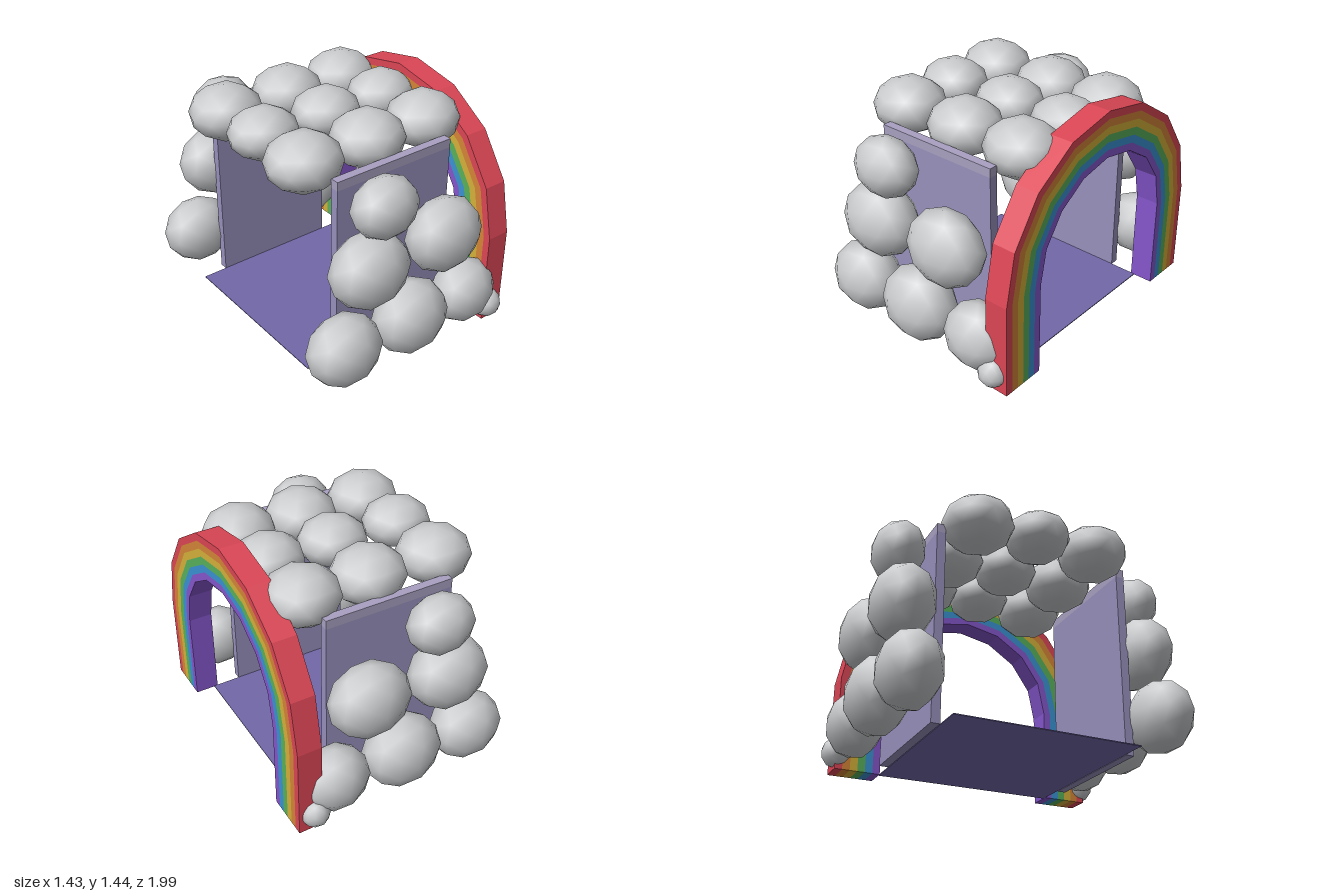
import * as THREE from 'three';

const mat = (name, color) => {
  const m = new THREE.MeshStandardMaterial({ color });
  m.name = name;
  return m;
};

export function createModel() {
  const group = new THREE.Group();
  const cloudMat = mat('cloud grey', 0xc9cbcd);
  const wallMat = mat('wall lavender', 0x9790bb);
  const trimMat = mat('trim pale lavender', 0xa8a0c0);
  const floorMat = mat('floor violet', 0x7168a8);
  const bandMats = [
    mat('red', 0xdb4655), mat('orange', 0xd48437), mat('yellow', 0xd4b03a),
    mat('green', 0x58b05a), mat('blue', 0x3a92d2), mat('purple', 0x8556cc),
  ];

  const add = (name, geometry, material, x = 0, y = 0, z = 0) => {
    const mesh = new THREE.Mesh(geometry, material);
    mesh.name = name;
    mesh.position.set(x, y, z);
    group.add(mesh);
    return mesh;
  };

  // Floor slab
  add('floor', new THREE.BoxGeometry(1.17, 0.006, 1.15), floorMat, 0, 0.003, 0);

  // Side walls with a pale top rail
  for (const s of [1, -1]) {
    add('wall', new THREE.BoxGeometry(0.82, 1.18, 0.055), wallMat, -0.01, 0.59, s * 0.607);
    add('wallTopRail', new THREE.BoxGeometry(0.82, 0.055, 0.055), trimMat, -0.01, 1.2075, s * 0.607);
  }

  // Rainbow arch: six nested bands, straight legs below a faceted round top
  const springY = 0.597, steps = 8;
  const archLine = (r) => {
    const pts = [new THREE.Vector2(r, 0)];
    for (let i = 0; i <= steps; i++) {
      const a = (i / steps) * Math.PI;
      pts.push(new THREE.Vector2(r * Math.cos(a), springY + (r - 0.02) * Math.sin(a)));
    }
    pts.push(new THREE.Vector2(-r, 0));
    return pts;
  };
  const outerR = 0.863, bandW = 0.0477;
  bandMats.forEach((m, i) => {
    const outer = archLine(outerR - i * bandW);
    const inner = archLine(outerR - (i + 1) * bandW).reverse();
    const geo = new THREE.ExtrudeGeometry(new THREE.Shape([...outer, ...inner]), {
      depth: 0.15, bevelEnabled: false,
    });
    geo.rotateY(Math.PI / 2);
    add(m.name + 'ArchBand', geo, m, 0.56, 0, 0);
  });

  // Cloud puffs: smooth low-poly balls, pole up for the roof, pole out for the walls
  const roofBall = new THREE.IcosahedronGeometry(1, 1);
  roofBall.rotateX(-Math.atan((1 + Math.sqrt(5)) / 2));
  const wallBall = roofBall.clone();
  wallBall.rotateY(Math.PI / 2);
  wallBall.rotateX(Math.PI / 2);

  // x, y, z, then radii in x, y, z
  const wallPuffs = [
    [-0.485, 0.245, 0.79, 0.242, 0.225, 0.185],
    [-0.01, 0.27, 0.805, 0.255, 0.24, 0.19],
    [0.437, 0.25, 0.79, 0.218, 0.21, 0.175],
    [0.6, 0.112, 0.85, 0.092, 0.097, 0.09],
    [-0.315, 0.72, 0.79, 0.257, 0.232, 0.19],
    [0.223, 0.75, 0.805, 0.255, 0.236, 0.182],
    [-0.23, 1.098, 0.802, 0.21, 0.184, 0.158],
  ];
  for (const s of [1, -1]) {
    for (const [x, y, z, rx, ry, rz] of wallPuffs) {
      const puff = add('wallCloud', wallBall, cloudMat, x, y, s * z);
      puff.scale.set(rx, ry, rz);
      if (s < 0) puff.rotation.y = Math.PI;
    }
  }
  for (const x of [-0.455, -0.01, 0.41]) {
    for (const z of [-0.393, 0, 0.383]) {
      const middle = z === 0;
      const puff = add('roofCloud', roofBall, cloudMat, x, middle ? 1.285 : 1.268, z);
      puff.scale.set(middle ? 0.215 : 0.228, middle ? 0.155 : 0.172, middle ? 0.2 : 0.218);
    }
  }

  return group;
}
